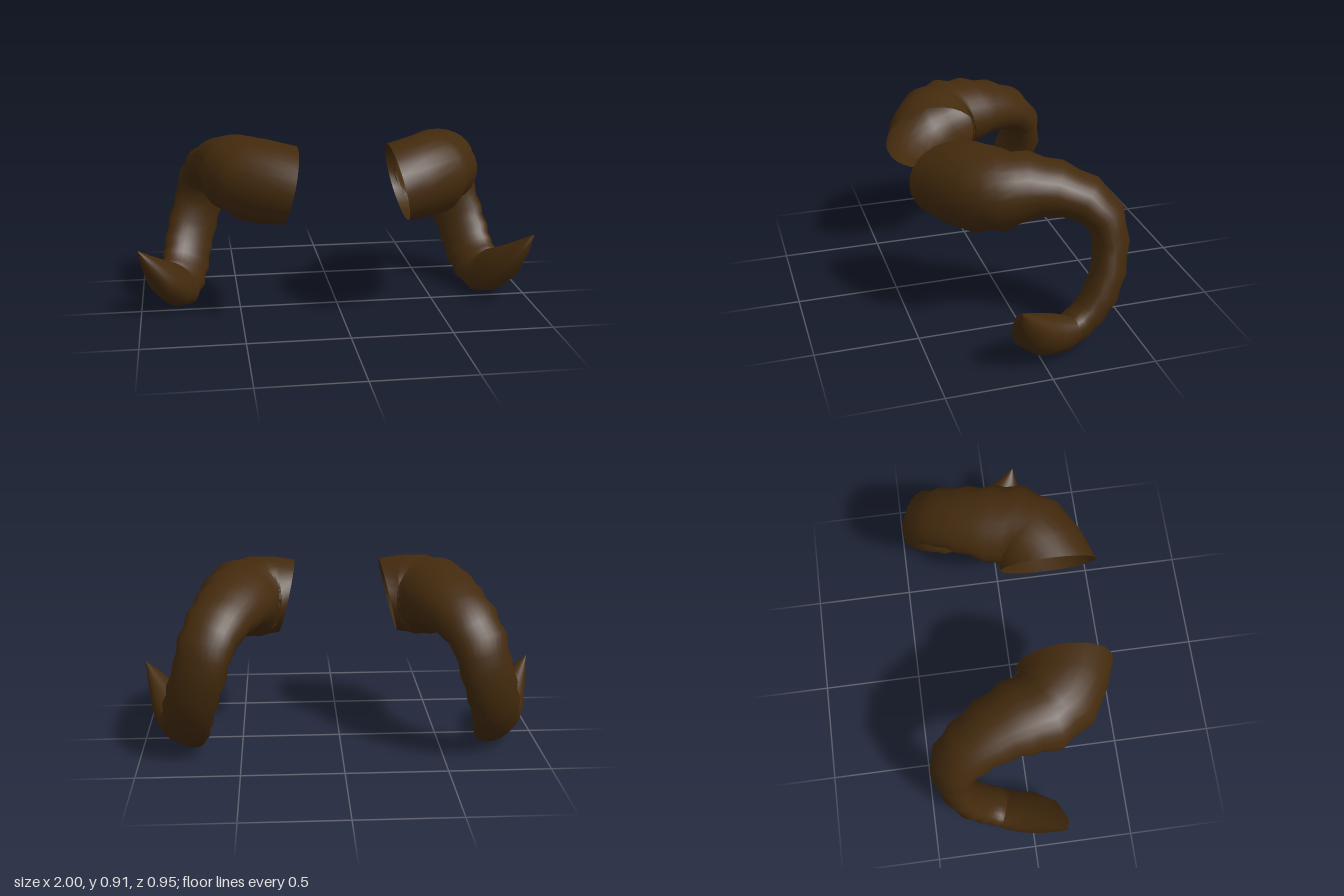
import * as THREE from 'three';

const SIDES = 28;

// Ridge rings from base to tip: centre x, y, z, half-width across the curl, half-width along it
const RIDGES = [
  [0.265, 0.675, 0.23, 0.24, 0.19],
  [0.355, 0.685, 0.205, 0.222, 0.2],
  [0.432, 0.692, 0.155, 0.222, 0.204],
  [0.485, 0.703, 0.08, 0.214, 0.195],
  [0.51, 0.718, -0.035, 0.198, 0.16],
  [0.553, 0.707, -0.16, 0.174, 0.132],
  [0.608, 0.663, -0.282, 0.155, 0.114],
  [0.654, 0.585, -0.36, 0.143, 0.098],
  [0.685, 0.465, -0.383, 0.138, 0.088],
  [0.724, 0.34, -0.36, 0.138, 0.086],
  [0.752, 0.239, -0.315, 0.136, 0.087],
  [0.768, 0.161, -0.255, 0.133, 0.082],
  [0.786, 0.111, -0.185, 0.13, 0.083],
  [0.812, 0.088, -0.11, 0.13, 0.082],
  [0.842, 0.117, -0.025, 0.127, 0.094],
  [0.89, 0.184, 0.06, 0.106, 0.08],
  [0.956, 0.285, 0.125, 0.05, 0.036],
  [0.998, 0.35, 0.15, 0.002, 0.002],
];

// Insert a slightly narrower groove ring between neighbouring ridges
function buildRings() {
  const rings = [];
  RIDGES.forEach((ring, i) => {
    rings.push(ring);
    if (i >= 2 && i < 13) {
      rings.push(ring.map((n, k) => (n + RIDGES[i + 1][k]) / 2 * (k > 2 ? 0.93 : 1)));
    }
  });
  return rings;
}

function hornGeometry(side) {
  const rings = buildRings();
  const centres = rings.map(r => new THREE.Vector3(r[0], r[1], r[2]));
  const positions = [], indices = [];
  const across = new THREE.Vector3(0, 0, 1);
  const turn = new THREE.Quaternion();
  let previous = new THREE.Vector3(0.972, 0.235, 0).normalize();

  rings.forEach((ring, i) => {
    // Carry the ring's frame along the curl without twisting it
    const tangent = i === 0 ? previous.clone()
      : centres[Math.min(i + 1, rings.length - 1)].clone().sub(centres[i - 1]).normalize();
    // The first ring leans with the base so the two do not cross
    if (i === 1) tangent.add(previous).normalize();
    across.applyQuaternion(turn.setFromUnitVectors(previous, tangent));
    const along = tangent.clone().cross(across);
    previous = tangent;

    for (let j = 0; j < SIDES; j++) {
      const angle = j / SIDES * Math.PI * 2;
      const p = centres[i].clone()
        .addScaledVector(across, Math.cos(angle) * ring[3])
        .addScaledVector(along, Math.sin(angle) * ring[4]);
      positions.push(p.x * side, p.y, p.z);
      if (i === rings.length - 1) continue;
      const a = i * SIDES + j, b = i * SIDES + (j + 1) % SIDES;
      const c = a + SIDES, d = b + SIDES;
      if (side > 0) indices.push(a, b, c, b, d, c);
      else indices.push(a, c, b, b, c, d);
    }
  });

  const geometry = new THREE.BufferGeometry();
  geometry.setAttribute('position', new THREE.Float32BufferAttribute(positions, 3));
  geometry.setIndex(indices);
  geometry.computeVertexNormals();
  return geometry;
}

export function createModel() {
  const group = new THREE.Group();
  group.name = 'hornPair';
  const horn = new THREE.MeshStandardMaterial({ color: 0x432a0d, side: THREE.DoubleSide });
  horn.name = 'darkBrownHorn';

  // Hollow, open-based horns mirrored across the middle
  for (const [name, side] of [['leftHorn', 1], ['rightHorn', -1]]) {
    const mesh = new THREE.Mesh(hornGeometry(side), horn);
    mesh.name = name;
    group.add(mesh);
  }
  return group;
}
